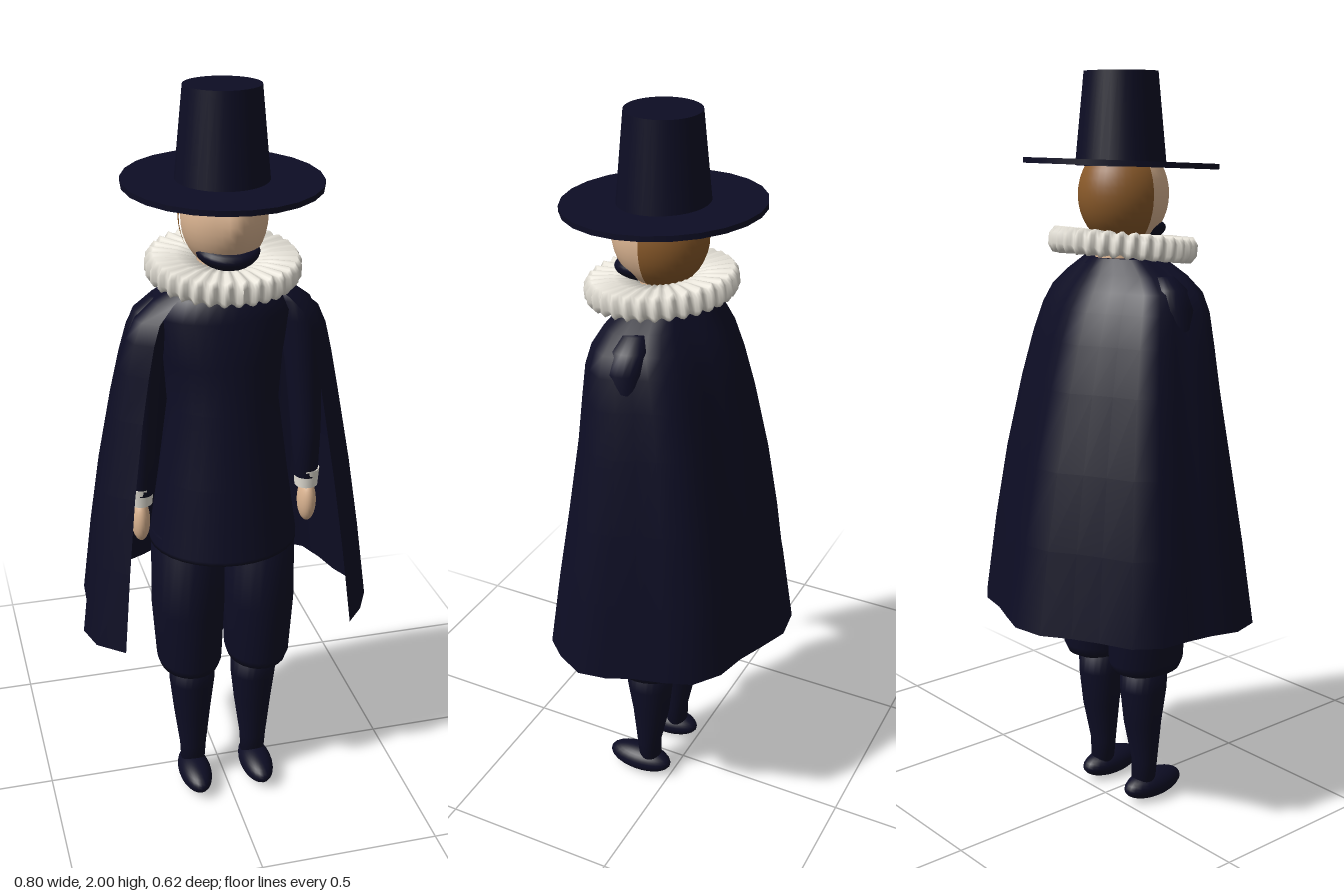
import * as THREE from 'three';

const mat = (name, color, side = THREE.FrontSide) => {
  const m = new THREE.MeshStandardMaterial({ color, side });
  m.name = name;
  return m;
};

// Joins rows of points (bottom to top) into one smooth surface
function skin(rows, closed) {
  const n = rows[0].length, pos = rows.flat(2), idx = [];
  for (let i = 0; i < rows.length - 1; i++) {
    for (let j = 0; j < (closed ? n : n - 1); j++) {
      const a = i * n + j, b = i * n + (j + 1) % n;
      idx.push(a, a + n, b, b, a + n, b + n);
    }
  }
  const g = new THREE.BufferGeometry();
  g.setAttribute('position', new THREE.Float32BufferAttribute(pos, 3));
  g.setIndex(idx);
  g.computeVertexNormals();
  return g;
}

// Elliptical rings [y, centreX, centreZ, radiusX, radiusZ], ends closed to a point
function loft(rings, n = 24) {
  const tip = r => [r[0], r[1], r[2], 0.001, 0.001];
  return skin([tip(rings[0]), ...rings, tip(rings.at(-1))].map(([y, cx, cz, rx, rz]) =>
    Array.from({ length: n }, (_, j) => {
      const t = (j / n) * Math.PI * 2;
      return [cx + rx * Math.cos(t), y, cz + rz * Math.sin(t)];
    })), true);
}

function warp(geo, rule) {
  const p = geo.attributes.position, v = new THREE.Vector3();
  for (let i = 0; i < p.count; i++) {
    rule(v.fromBufferAttribute(p, i));
    p.setXYZ(i, v.x, v.y, v.z);
  }
  geo.computeVertexNormals();
  return geo;
}

export function createModel() {
  const navy = mat('navy cloth', 0x0d0d24);
  const capeCloth = mat('cape cloth', 0x0d0d24, THREE.DoubleSide);
  const linen = mat('white linen', 0xe6e2d8);
  const flesh = mat('skin', 0xdcb592);
  const brown = mat('brown hair', 0x8a5a2a);
  const model = new THREE.Group();
  const add = (name, geo, material, x = 0, y = 0, z = 0) => {
    const m = new THREE.Mesh(geo, material);
    m.name = name;
    m.position.set(x, y, z);
    model.add(m);
    return m;
  };
  const ball = (rx, ry, rz) => new THREE.SphereGeometry(1, 24, 16).scale(rx, ry, rz);

  // Doublet with a flared skirt
  add('doublet', loft([
    [0.8, 0, 0.06, 0.2, 0.188], [0.81, 0, 0.06, 0.2, 0.187], [1.0, 0, 0.06, 0.172, 0.158],
    [1.2, 0, 0.06, 0.146, 0.132], [1.32, 0, 0.06, 0.155, 0.12], [1.44, 0, 0.055, 0.175, 0.118],
    [1.49, 0, 0.05, 0.15, 0.1], [1.53, 0, 0.05, 0.09, 0.075],
  ], 32), navy);
  add('neck', new THREE.CylinderGeometry(0.06, 0.07, 0.14, 20), flesh, 0, 1.55, 0.05);

  for (const s of [1, -1]) {
    const side = s > 0 ? 'left' : 'right';
    // Legs
    add(side + 'Breeches', loft([
      [0.39, s * 0.095, 0.065, 0.055, 0.07], [0.405, s * 0.098, 0.065, 0.082, 0.1],
      [0.43, s * 0.098, 0.065, 0.09, 0.112], [0.6, s * 0.1, 0.065, 0.1, 0.118],
      [0.84, s * 0.098, 0.065, 0.098, 0.12],
    ]), navy);
    add(side + 'Stocking', loft([
      [0.05, s * 0.09, 0.065, 0.034, 0.032], [0.12, s * 0.09, 0.068, 0.038, 0.035],
      [0.24, s * 0.09, 0.06, 0.053, 0.053], [0.34, s * 0.09, 0.062, 0.064, 0.066],
      [0.42, s * 0.09, 0.064, 0.065, 0.07],
    ]), navy);
    add(side + 'Shoe', ball(0.046, 0.039, 0.098), navy, s * 0.092, 0.039, 0.098);
    // Arms
    add(side + 'Sleeve', loft([
      [0.96, s * 0.226, 0.08, 0.032, 0.034], [1.1, s * 0.224, 0.075, 0.04, 0.042],
      [1.28, s * 0.214, 0.065, 0.047, 0.05], [1.41, s * 0.2, 0.06, 0.053, 0.058],
      [1.46, s * 0.185, 0.055, 0.045, 0.05], [1.49, s * 0.165, 0.055, 0.025, 0.03],
    ], 20), navy);
    add(side + 'Cuff', new THREE.CylinderGeometry(0.035, 0.031, 0.05, 20), linen, s * 0.228, 0.955, 0.08);
    add(side + 'Hand', ball(0.025, 0.062, 0.036), flesh, s * 0.23, 0.883, 0.082);
  }

  // Open-fronted cape: the hem outline shrinks towards the neck
  const hem = [
    [0.31, 0.25], [0.36, 0.193], [0.4, 0.115], [0.388, 0.04], [0.357, -0.03], [0.338, -0.105],
    [0.31, -0.18], [0.24, -0.23], [0.155, -0.25], [0.08, -0.28], [0, -0.31], [-0.09, -0.298],
    [-0.16, -0.25], [-0.23, -0.215], [-0.315, -0.18], [-0.362, -0.115], [-0.368, -0.03],
    [-0.378, 0.04], [-0.4, 0.115], [-0.378, 0.193], [-0.31, 0.25],
  ].reverse();
  const levels = [ // y, half width, back z, front z
    [0.58, 0.4, -0.31, 0.25], [0.8, 0.372, -0.275, 0.225], [1.0, 0.342, -0.235, 0.2],
    [1.2, 0.305, -0.185, 0.18], [1.32, 0.28, -0.15, 0.175], [1.4, 0.26, -0.12, 0.172],
    [1.45, 0.238, -0.09, 0.162], [1.49, 0.19, -0.06, 0.145], [1.53, 0.12, -0.03, 0.12],
  ];
  add('cape', skin(levels.map(([y, w, back, front]) =>
    hem.map(([x, z]) => [x * w / 0.4, y, back + (z + 0.31) / 0.56 * (front - back)])), false), capeCloth);

  // Pleated ruff
  const section = [[0.07, -0.02], [0.12, -0.028], [0.18, -0.03], [0.19, -0.015], [0.19, 0.015],
    [0.18, 0.03], [0.12, 0.028], [0.07, 0.02], [0.07, -0.02]].map(p => new THREE.Vector2(...p));
  const ruff = add('ruff', warp(new THREE.LatheGeometry(section, 192), v => {
    const r = Math.hypot(v.x, v.z), t = Math.atan2(v.x, v.z), k = r / 0.19;
    const wave = 1 + 0.035 * k * Math.cos(32 * t);
    v.x *= wave;
    v.z *= wave;
    v.y += 0.005 * k * Math.sin(32 * t);
  }), linen, 0, 1.56, 0.06);
  ruff.rotation.x = 0.11;

  // Head: face on the front half, hair on the back half
  const half = (start, rx, ry, rz) =>
    new THREE.SphereGeometry(1, 20, 20, start, Math.PI).scale(rx, ry, rz);
  add('face', warp(half(0, 0.109, 0.135, 0.123), v => {
    // Slight ridge for the nose
    v.z += 0.012 * Math.exp(-((v.x / 0.025) ** 2) - ((v.y + 0.005) / 0.045) ** 2);
  }), flesh, 0, 1.69, 0.065);
  add('hair', half(Math.PI, 0.113, 0.138, 0.13), brown, 0, 1.69, 0.067);
  add('beard', warp(ball(0.08, 0.033, 0.075), v => { v.y += 2 * v.x * v.x; }), navy, 0, 1.597, 0.108);

  // Tall hat with a wide, slightly tilted brim
  const brim = add('hatBrim', new THREE.CylinderGeometry(0.25, 0.25, 0.014, 24), navy, 0, 1.769, 0.053);
  brim.scale.z = 1.035;
  brim.rotation.x = 0.045;
  add('hatCrown', new THREE.CylinderGeometry(0.096, 0.119, 0.235, 32), navy, 0, 1.8825, 0.052);

  return model;
}
